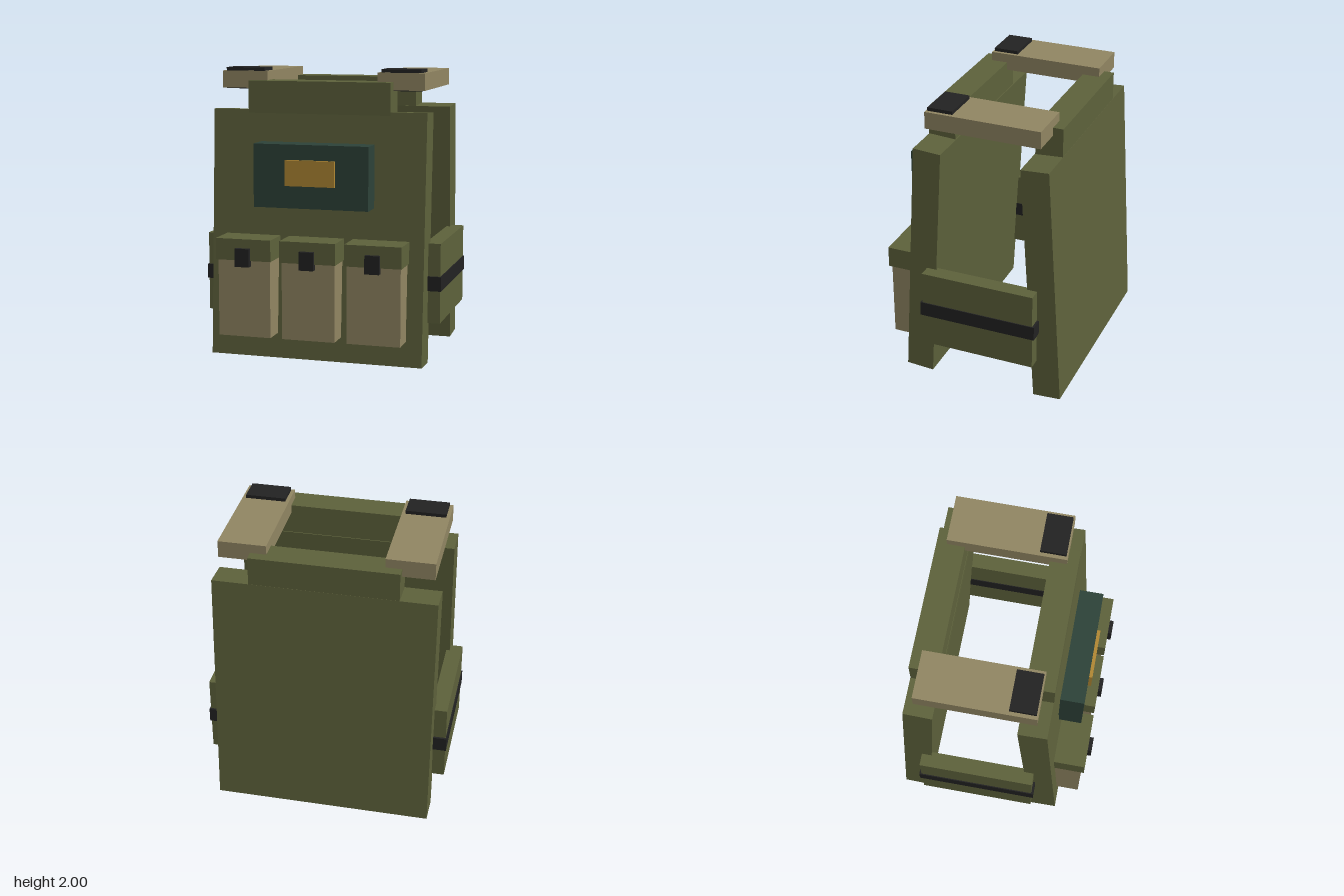
import * as THREE from 'three';

function material(name, color) {
  const m = new THREE.MeshStandardMaterial({ color });
  m.name = name;
  return m;
}

export function createModel() {
  const olive = material('olive', 0x5d613b);
  const tan = material('tan', 0x908562);
  const black = material('black', 0x222222);
  const teal = material('darkTeal', 0x2d4238);
  const gold = material('gold', 0xb08733);

  const vest = new THREE.Group();
  vest.name = 'tacticalVest';

  // Box given by its extents on each axis
  function box(name, mat, [x0, x1], [y0, y1], [z0, z1], parent = vest) {
    const mesh = new THREE.Mesh(new THREE.BoxGeometry(x1 - x0, y1 - y0, z1 - z0), mat);
    mesh.position.set((x0 + x1) / 2, (y0 + y1) / 2, (z0 + z1) / 2);
    mesh.name = name;
    parent.add(mesh);
    return mesh;
  }

  // Front and back panels lean towards each other, each with an upright collar
  const front = box('frontPanel', olive, [-0.75, 0.75], [0.005, 1.715], [0.235, 0.43]);
  front.rotation.x = -0.06;
  const back = box('backPanel', olive, [-0.75, 0.75], [0.005, 1.715], [-0.618, -0.423]);
  back.rotation.x = 0.06;
  box('frontCollar', olive, [-0.5, 0.5], [1.62, 1.915], [0.19, 0.38]);
  box('backCollar', olive, [-0.5, 0.5], [1.62, 1.915], [-0.565, -0.375]);

  // Shoulder straps, side panels and belts, mirrored left and right
  for (const s of [1, -1]) {
    const side = s > 0 ? 'left' : 'right';
    const span = (a, b) => (s > 0 ? [a, b] : [-b, -a]);
    box(side + 'ShoulderStrap', tan, span(0.39, 0.715), [1.86, 1.977], [-0.495, 0.305]);
    box(side + 'StrapBuckle', black, span(0.415, 0.69), [1.855, 2.0], [0.12, 0.295]);
    box(side + 'SidePanel', olive, span(0.725, 0.835), [0.285, 0.835], [-0.495, 0.305]);
    box(side + 'SideBelt', black, span(0.72, 0.842), [0.51, 0.61], [-0.51, 0.32]);
  }

  // Chest pack with a patch
  box('chestPack', teal, [-0.4, 0.4], [1.075, 1.505], [0.41, 0.572]);
  box('chestPatch', gold, [-0.173, 0.173], [1.228, 1.402], [0.565, 0.595]);

  // Three pouches with flaps and clips
  for (const x of [-0.453, 0, 0.453]) {
    const pouch = new THREE.Group();
    pouch.name = 'pouch';
    pouch.position.x = x;
    vest.add(pouch);
    box('pouchBody', tan, [-0.185, 0.185], [0.185, 0.75], [0.42, 0.63], pouch);
    box('pouchFlap', olive, [-0.195, 0.195], [0.715, 0.862], [0.42, 0.65], pouch);
    box('pouchClip', black, [-0.05, 0.05], [0.675, 0.8], [0.635, 0.678], pouch);
  }

  return vest;
}
